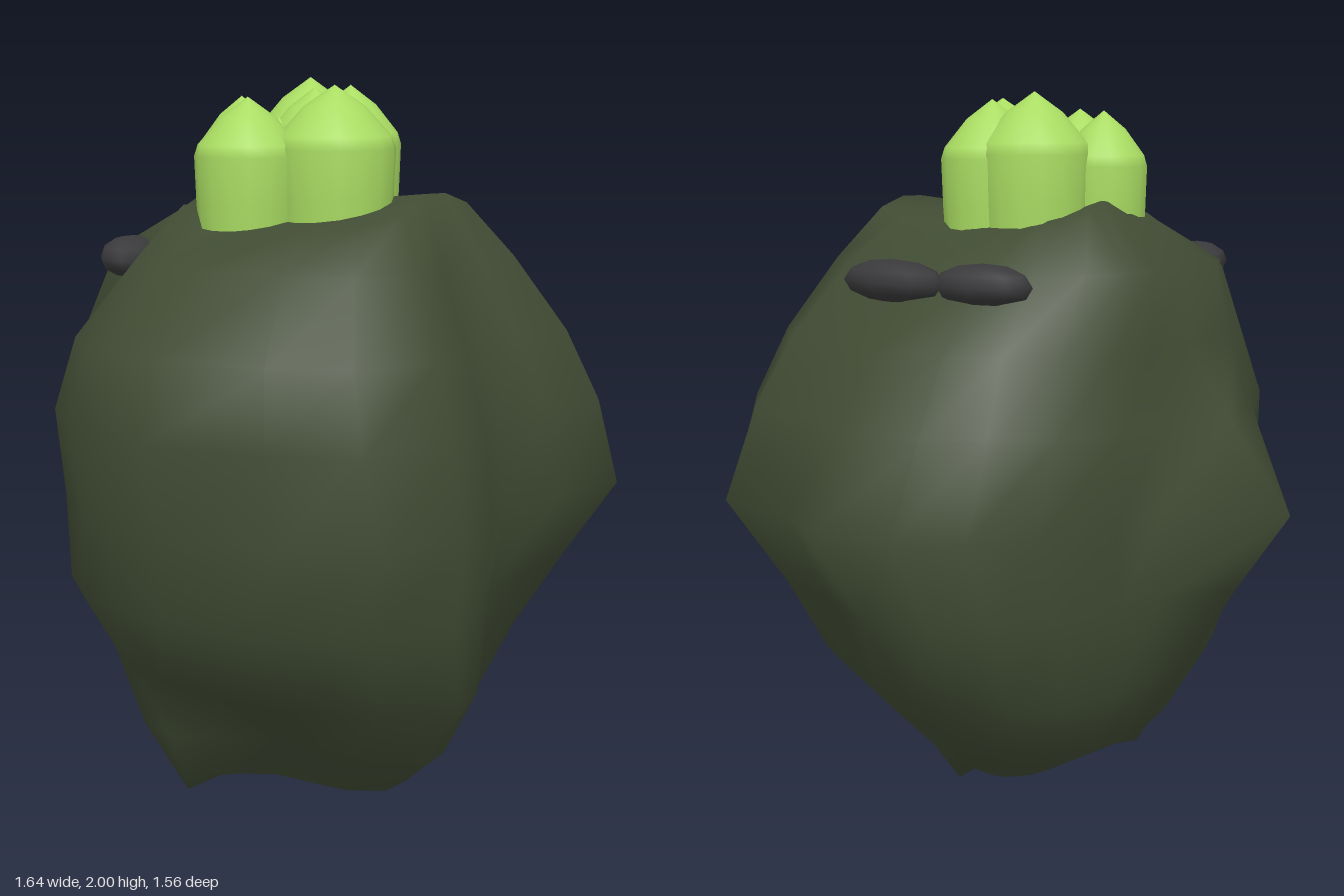
import * as THREE from 'three';

// Body outlines as [x, z] with matching points, starting at the back and running towards +x
const UPPER = [
  [-0.08, -0.55], [0.14, -0.53], [0.3, -0.5], [0.52, -0.42], [0.66, -0.29], [0.78, -0.15],
  [0.82, 0.09], [0.72, 0.26], [0.68, 0.53], [0.45, 0.73], [0.2, 0.7], [0, 0.67],
  [-0.14, 0.73], [-0.32, 0.77], [-0.56, 0.69], [-0.7, 0.5], [-0.82, 0.2], [-0.79, 0],
  [-0.78, -0.12], [-0.68, -0.3], [-0.52, -0.45], [-0.3, -0.55],
];
const LOWER = [
  [-0.08, -0.47], [0.12, -0.48], [0.25, -0.46], [0.4, -0.4], [0.52, -0.32], [0.6, -0.22],
  [0.63, -0.08], [0.57, 0.1], [0.49, 0.28], [0.4, 0.44], [0.22, 0.51], [0.05, 0.57],
  [-0.1, 0.68], [-0.25, 0.74], [-0.42, 0.62], [-0.52, 0.42], [-0.58, 0.2], [-0.59, 0],
  [-0.57, -0.15], [-0.5, -0.28], [-0.38, -0.38], [-0.23, -0.44],
];
const BASE = [
  [-0.08, -0.33], [0.06, -0.34], [0.15, -0.32], [0.24, -0.28], [0.3, -0.22], [0.35, -0.12],
  [0.36, 0], [0.33, 0.14], [0.28, 0.26], [0.22, 0.36], [0.14, 0.44], [0.02, 0.5],
  [-0.08, 0.55], [-0.18, 0.55], [-0.26, 0.44], [-0.29, 0.3], [-0.32, 0.16], [-0.4, 0.05],
  [-0.5, -0.06], [-0.48, -0.18], [-0.34, -0.25], [-0.22, -0.3],
];
const mix = (a, b, t) => a.map(([x, z], i) => [x + (b[i][0] - x) * t, z + (b[i][1] - z) * t]);

// Body rings from bottom to top: [outline, y, xMin, xMax, zMin, zMax]
const RINGS = [
  [BASE, 0.07, -0.2, 0.14, -0.06, 0.26],
  [BASE, 0.1, -0.43, 0.22, -0.13, 0.42],
  [BASE, 0.23, -0.5, 0.36, -0.35, 0.56],
  [LOWER, 0.44, -0.59, 0.63, -0.48, 0.74],
  [mix(UPPER, LOWER, 0.5), 0.68, -0.76, 0.72, -0.51, 0.76],
  [UPPER, 0.91, -0.78, 0.82, -0.54, 0.78],
  [UPPER, 1.15, -0.82, 0.7, -0.53, 0.75],
  [UPPER, 1.34, -0.76, 0.58, -0.47, 0.68],
  [UPPER, 1.54, -0.59, 0.39, -0.46, 0.57],
  [UPPER, 1.72, -0.43, 0.23, -0.27, 0.47],
];

// Single points drawn out of the body: back spike, feet, side lobe, shoulder, crown
const TIPS = [
  [-0.08, 0.91, -0.78], [-0.08, 1.15, -0.59], [-0.08, 0.68, -0.62],
  [0.1, 0, 0.2], [-0.06, 0.015, 0.21], [-0.4, 0.03, -0.1],
  [-0.74, 0.7, 0.42], [-0.4, 1.54, -0.25], [-0.41, 1.68, -0.07],
];

function bodyGeometry() {
  const n = UPPER.length, points = [], index = [];
  for (const [outline, y, x0, x1, z0, z1] of RINGS) {
    const xs = outline.map((p) => p[0]), zs = outline.map((p) => p[1]);
    for (const [x, z] of outline) {
      points.push(new THREE.Vector3(
        x < 0 ? (x / Math.min(...xs)) * x0 : (x / Math.max(...xs)) * x1,
        y > 1.6 ? y - 0.22 * Math.abs(x * 0.5 - 0.05) : y,
        z < 0 ? (z / Math.min(...zs)) * z0 : (z / Math.max(...zs)) * z1));
    }
  }
  for (const t of TIPS) {
    const tip = new THREE.Vector3(...t);
    const nearest = points.reduce((a, b) => (b.distanceTo(tip) < a.distanceTo(tip) ? b : a));
    nearest.copy(tip);
  }
  const bottom = points.push(new THREE.Vector3(-0.06, 0.09, 0.08)) - 1;
  const top = points.push(new THREE.Vector3(-0.1, 1.67, 0.05)) - 1;
  const last = (RINGS.length - 1) * n;
  for (let i = 0; i < n; i++) {
    const j = (i + 1) % n;
    index.push(bottom, i, j, top, last + j, last + i);
    for (let k = 0; k < last; k += n) {
      index.push(k + i, k + n + i, k + j, k + j, k + n + i, k + n + j);
    }
  }
  const geometry = new THREE.BufferGeometry().setFromPoints(points);
  geometry.setIndex(index);
  geometry.computeVertexNormals();
  return geometry;
}

// Pointed bud with a full shoulder; height runs from the base to the tip
function budGeometry(radius, height) {
  const profile = [[0.9, 0], [0.97, 0.35], [1, 0.64], [0.93, 0.71], [0.5, 0.88], [0, 1]]
    .map(([r, y]) => new THREE.Vector2(r * radius, y * height));
  return new THREE.LatheGeometry(profile, 16);
}

export function createModel() {
  const model = new THREE.Group();
  model.name = 'buddedLump';
  const bark = new THREE.MeshStandardMaterial({ name: 'darkOlive', color: 0x414c34 });
  const lime = new THREE.MeshStandardMaterial({ name: 'limeGreen', color: 0xa9dc62 });
  const charcoal = new THREE.MeshStandardMaterial({ name: 'charcoal', color: 0x3a3a3c });

  const add = (name, geometry, material, position, parent = model) => {
    const mesh = new THREE.Mesh(geometry, material);
    mesh.name = name;
    mesh.position.set(...position);
    parent.add(mesh);
    return mesh;
  };

  add('body', bodyGeometry(), bark, [0, 0, 0]);

  // Cluster of buds: [x, z, radius, tip height]
  const buds = new THREE.Group();
  buds.name = 'budCluster';
  model.add(buds);
  const base = 1.54;
  [
    [-0.29, 0.05, 0.14, 1.955], [-0.14, 0.215, 0.16, 1.985], [0.075, -0.06, 0.155, 2.0],
    [-0.07, -0.185, 0.12, 1.95], [-0.02, 0.04, 0.14, 1.975], [0.105, 0.06, 0.14, 1.98],
    [-0.15, 0.03, 0.065, 1.9], [-0.2, -0.04, 0.065, 1.88],
  ].forEach(([x, z, r, tip]) => add('bud', budGeometry(r, tip - base), lime, [x, base, z], buds));

  // Flattened dark scales on the shoulders: position, half sizes, turn
  [
    [[0.38, 1.51, -0.125], [0.09, 0.057, 0.145], 0.15],
    [[0.42, 1.51, 0.145], [0.085, 0.057, 0.185], -0.12],
    [[-0.4, 1.53, -0.285], [0.085, 0.055, 0.14], -0.95],
  ].forEach(([position, size, turn]) => {
    const scale = add('shoulderScale', new THREE.SphereGeometry(1, 8, 6), charcoal, position);
    scale.scale.set(...size);
    scale.rotation.y = turn;
  });

  return model;
}
